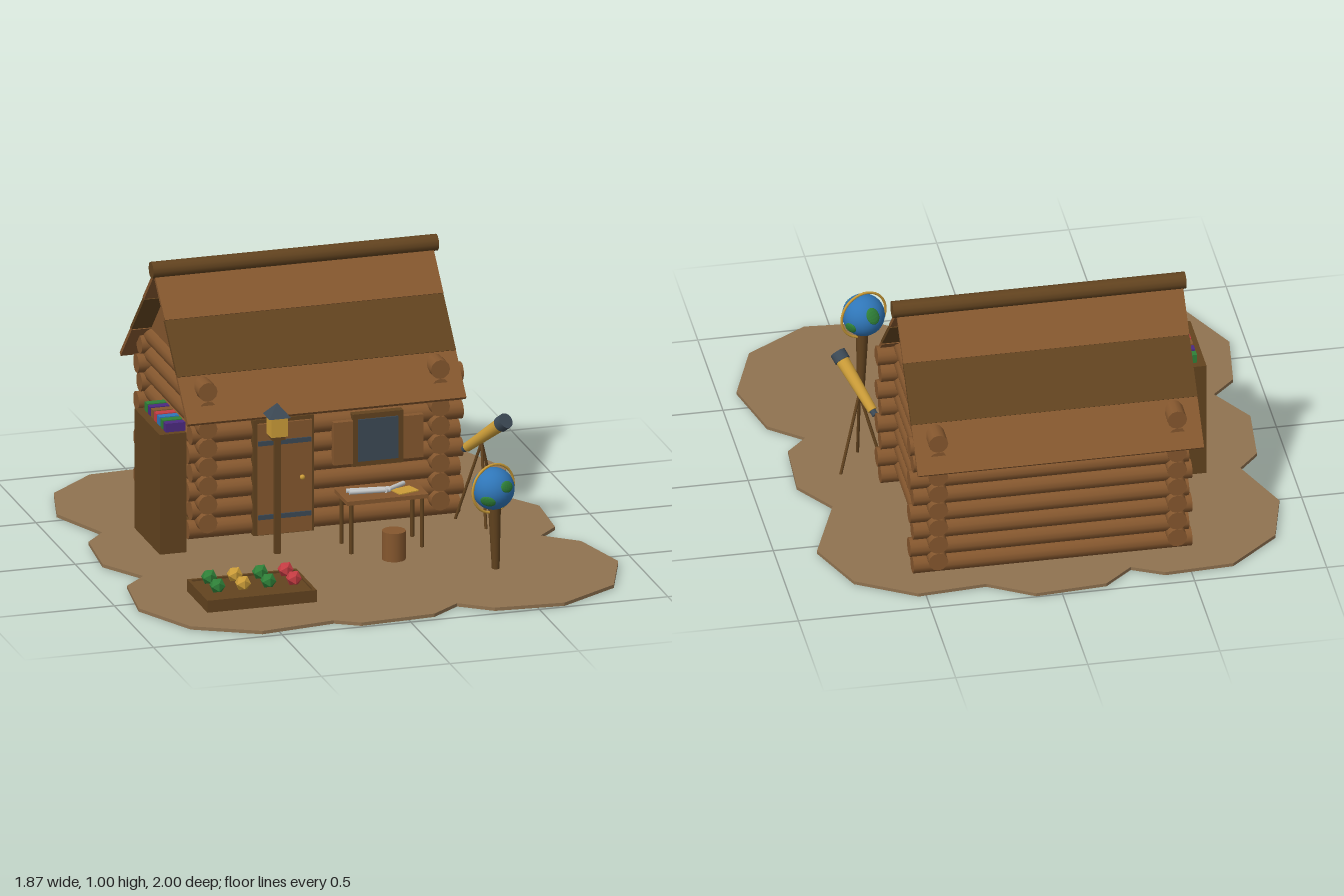
import * as THREE from 'three';

const mat = (name, color, flatShading = false) => {
  const m = new THREE.MeshStandardMaterial({ color, flatShading });
  m.name = name;
  return m;
};

export function createModel() {
  const root = new THREE.Group();
  const earth = mat('earth', 0x8f7250);
  const wood = mat('wood', 0x85572e);
  const dark = mat('darkWood', 0x62431f);
  const gold = mat('gold', 0xcb9c38);
  const slate = mat('slate', 0x3c4955);
  const green = mat('green', 0x2f8038, true);
  const red = mat('red', 0xc43c42, true);
  const blue = mat('blue', 0x2f76b8);
  const purple = mat('purple', 0x4c2a80);
  const paper = mat('paper', 0xc4c6c6);

  const V = (x, y, z) => new THREE.Vector3(x, y, z);
  const group = (name, parent = root) => {
    const g = new THREE.Group();
    g.name = name;
    parent.add(g);
    return g;
  };
  const add = (parent, name, geo, m, x = 0, y = 0, z = 0) => {
    const mesh = new THREE.Mesh(geo, m);
    mesh.name = name;
    mesh.position.set(x, y, z);
    parent.add(mesh);
    return mesh;
  };
  // box given by its minimum and maximum corners
  const box = (p, name, m, x0, x1, y0, y1, z0, z1) => add(p, name,
    new THREE.BoxGeometry(x1 - x0, y1 - y0, z1 - z0), m, (x0 + x1) / 2, (y0 + y1) / 2, (z0 + z1) / 2);
  // round bar between two points
  const rod = (p, name, m, a, b, r0, r1 = r0, sides = 12) => {
    const d = b.clone().sub(a);
    const mesh = add(p, name, new THREE.CylinderGeometry(r1, r0, d.length(), sides), m);
    mesh.position.copy(a).addScaledVector(d, 0.5);
    mesh.quaternion.setFromUnitVectors(V(0, 1, 0), d.normalize());
    return mesh;
  };

  // Ground: lobed slab
  const outline = [
    [-0.66, -0.93], [-0.4, -0.945], [-0.28, -0.885], [-0.17, -0.98], [0.1, -1], [0.27, -0.9], [0.53, -0.92],
    [0.75, -0.79], [0.845, -0.555], [0.73, -0.26], [0.835, -0.1], [0.82, 0.15], [0.74, 0.23], [0.865, 0.335],
    [0.93, 0.595], [0.835, 0.85], [0.6, 0.995], [0.335, 0.975], [0.215, 0.885], [0.1, 0.975], [-0.19, 0.995],
    [-0.28, 0.94], [-0.57, 0.98], [-0.81, 0.85], [-0.935, 0.595], [-0.9, 0.335], [-0.81, 0.245], [-0.915, 0.07],
    [-0.89, -0.19], [-0.81, -0.28], [-0.91, -0.53], [-0.85, -0.765]];
  const slab = new THREE.Shape(outline.map(([x, z]) => new THREE.Vector2(x, -z)));
  add(root, 'ground', new THREE.ExtrudeGeometry(slab, { depth: 0.013, bevelEnabled: false })
    .rotateX(-Math.PI / 2), earth, 0, 0.002, 0);

  // Cabin: notched log walls
  const cabin = group('cabin');
  const cx = -0.015, cz = -0.442, hx = 0.452, hz = 0.322, r = 0.037;
  box(cabin, 'floor', dark, cx - hx, cx + hx, 0, 0.02, cz - hz, cz + hz);
  for (let i = 0; i < 8; i++) {
    const y = 0.05 + i * 0.0739, j = (i % 2) * 0.012;
    for (const s of [-1, 1]) {
      rod(cabin, 'longWallLog', wood, V(-0.53 + j, y, cz + s * hz), V(0.525 + j, y, cz + s * hz), r);
      rod(cabin, 'sideWallLog', wood, V(cx + s * hx, y + r, cz - 0.388), V(cx + s * hx, y + r, cz + 0.388), r);
    }
  }

  // Gables
  const tri = new THREE.Shape([new THREE.Vector2(-0.325, 0), new THREE.Vector2(0.325, 0), new THREE.Vector2(0, 0.34)]);
  const gable = new THREE.ExtrudeGeometry(tri, { depth: 0.03, bevelEnabled: false })
    .translate(0, 0, -0.015).rotateY(Math.PI / 2);
  for (const s of [-1, 1]) add(cabin, 'gable', gable, wood, cx + s * hx, 0.605, cz);

  // Roof: three lapped boards on each slope
  for (const turn of [0, Math.PI]) {
    const side = group('roofSide', cabin);
    side.position.set(cx - 0.003, 0.965, cz);
    side.rotation.y = turn;
    const slope = group('roofSlope', side);
    slope.rotation.x = 0.806;
    [[0, 0.205], [0.195, 0.44], [0.43, 0.635]].forEach(([a, b], i) =>
      add(slope, 'roofBoard', new THREE.BoxGeometry(1.083, 0.016, b - a), i === 1 ? dark : wood,
        0, -0.008 - i * 0.003, (a + b) / 2));
  }
  rod(cabin, 'ridgeLog', dark, V(-0.57, 0.968, cz), V(0.54, 0.968, cz), 0.032);

  // Door with strap hinges and knob
  const door = group('door', cabin);
  box(door, 'doorFrame', dark, -0.285, -0.05, 0.015, 0.47, -0.1, -0.072);
  box(door, 'doorPanel', wood, -0.27, -0.06, 0.02, 0.455, -0.09, -0.062);
  for (const y of [0.09, 0.38]) box(door, 'hingeStrap', slate, -0.27, -0.065, y - 0.009, y + 0.009, -0.064, -0.056);
  add(door, 'doorKnob', new THREE.SphereGeometry(0.01, 12, 8), gold, -0.1, 0.235, -0.054);

  // Window with shutters
  const win = group('window', cabin);
  box(win, 'windowFrame', dark, 0.1, 0.297, 0.25, 0.455, -0.1, -0.068);
  box(win, 'glass', slate, 0.12, 0.275, 0.27, 0.435, -0.069, -0.062);
  for (const x of [0.025, 0.298]) box(win, 'shutter', wood, x, x + 0.075, 0.265, 0.432, -0.09, -0.062);

  // Bookcase, open towards the cabin
  const shelf = group('bookcase');
  box(shelf, 'bookcaseBack', dark, -0.68, -0.665, 0, 0.485, -0.29, 0.03);
  for (const z of [-0.29, 0.016]) box(shelf, 'bookcaseSide', dark, -0.68, -0.577, 0, 0.485, z, z + 0.014);
  for (const y of [0, 0.162, 0.317, 0.47]) box(shelf, 'shelfBoard', dark, -0.68, -0.577, y, y + 0.015, -0.29, 0.03);
  const spines = [green, purple, wood, red, blue, green, purple];
  [0.015, 0.177, 0.332, 0.485].forEach((y, row) => {
    for (let i = 0; i < 7; i++) {
      const z = -0.262 + i * 0.04;
      const h = row === 3 ? 0.034 : 0.105 + ((i * 3 + row) % 4) * 0.009;
      box(shelf, 'book', spines[(i + row * 2 + 1) % 7 === 0 && row < 3 ? 4 : (i + (3 - row) * 2) % 7],
        -0.65, -0.574, y, y + h, z, z + 0.03);
    }
  });

  // Lantern post
  const lamp = group('lanternPost');
  const lx = -0.257, lz = 0.138;
  box(lamp, 'post', dark, lx - 0.011, lx + 0.011, 0, 0.47, lz - 0.011, lz + 0.011);
  box(lamp, 'lanternBase', dark, lx - 0.025, lx + 0.025, 0.465, 0.48, lz - 0.025, lz + 0.025);
  box(lamp, 'lanternLight', gold, lx - 0.032, lx + 0.032, 0.48, 0.557, lz - 0.032, lz + 0.032);
  add(lamp, 'lanternRoof', new THREE.ConeGeometry(0.06, 0.05, 4, 1).rotateY(Math.PI / 4).toNonIndexed(),
    slate, lx, 0.58, lz).geometry.computeVertexNormals();

  // Table with scrolls and a map
  const table = group('table');
  box(table, 'tableTop', wood, -0.017, 0.3, 0.21, 0.226, 0.085, 0.243);
  for (const x of [0.005, 0.28]) for (const z of [0.1, 0.225])
    rod(table, 'tableLeg', dark, V(x, 0, z), V(x, 0.21, z), 0.008, 0.008, 8);
  for (const [x0, z0, x1, z1] of [[0.01, 0.145, 0.17, 0.165], [0.015, 0.165, 0.17, 0.18], [0.15, 0.185, 0.24, 0.12]])
    rod(table, 'scroll', paper, V(x0, 0.235, z0), V(x1, 0.235, z1), 0.009, 0.009, 10);
  add(table, 'map', new THREE.BoxGeometry(0.085, 0.004, 0.065), gold, 0.225, 0.229, 0.185).rotation.y = 0.3;

  // Stump seat
  rod(root, 'stumpSeat', wood, V(0.14, 0, 0.325), V(0.14, 0.126, 0.325), 0.045, 0.045, 14);

  // Garden bed with two rows of plants
  const bed = group('gardenBed');
  box(bed, 'soil', dark, -0.695, -0.29, 0, 0.055, 0.47, 0.71);
  for (const z of [0.46, 0.708]) box(bed, 'bedRail', dark, -0.705, -0.28, 0, 0.062, z, z + 0.012);
  for (const x of [-0.705, -0.292]) box(bed, 'bedEnd', dark, x, x + 0.012, 0, 0.062, 0.46, 0.72);
  const plant = new THREE.IcosahedronGeometry(0.031, 0);
  const goldFlat = gold; // polyhedron normals are already faceted
  [green, goldFlat, green, red].forEach((m, i) => {
    for (const z of [0.535, 0.64]) add(bed, 'plant', plant, m, -0.642 + i * 0.099, 0.09, z);
  });

  // Globe on a tapered stand
  const globe = group('globe');
  globe.position.set(0.46, 0.33, 0.542);
  rod(globe, 'globeStand', dark, V(0.01, -0.33, 0), V(0.005, -0.07, 0), 0.014, 0.024, 10);
  add(globe, 'globeBall', new THREE.SphereGeometry(0.08, 28, 20), blue);
  add(globe, 'meridianRing', new THREE.TorusGeometry(0.093, 0.005, 8, 36), gold).rotation.y = 0.32;
  for (const [x, y, z, s] of [[0.44, 0.31, 0.84, 0.026], [-0.5, -0.38, 0.78, 0.027],
    [-0.3, 0.4, -0.85, 0.03], [0.75, -0.3, -0.6, 0.026]]) {
    const n = V(x, y, z).normalize();
    const land = add(globe, 'continent', new THREE.SphereGeometry(s, 14, 10), green);
    land.position.copy(n).multiplyScalar(0.076);
    land.scale.set(1.1, 0.85, 0.32);
    land.quaternion.setFromUnitVectors(V(0, 0, 1), n);
  }

  // Telescope on a tripod
  const scope = group('telescope');
  const rear = V(0.538, 0.285, -0.06), tip = V(0.637, 0.442, 0.125);
  const at = t => rear.clone().lerp(tip, t);
  rod(scope, 'eyepiece', slate, at(-0.06), at(0.04), 0.012, 0.012);
  rod(scope, 'telescopeTube', gold, at(0.02), at(0.88), 0.018, 0.026, 16);
  rod(scope, 'lensHood', slate, at(0.86), at(1), 0.03, 0.03, 16);
  for (const [x, z] of [[0.66, -0.045], [0.567, 0.1], [0.49, -0.05]])
    rod(scope, 'tripodLeg', dark, V(x, 0.005, z), V(0.577, 0.325, 0.01), 0.006, 0.006, 8);

  return root;
}
